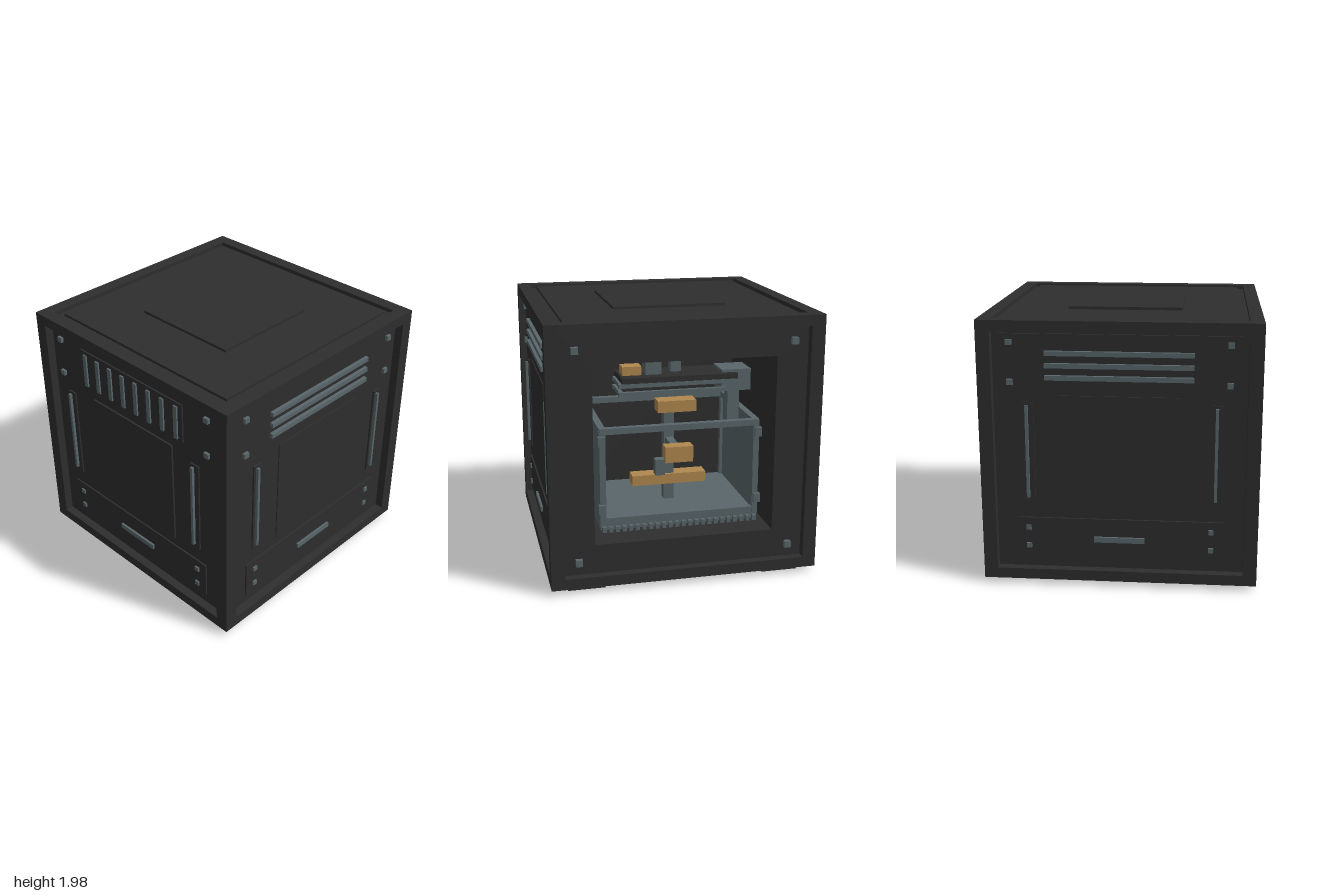
import * as THREE from 'three';

const dark = new THREE.MeshStandardMaterial({ color: 0x2e2e2e });
dark.name = 'charcoal';
const metal = new THREE.MeshStandardMaterial({ color: 0x59666a });
metal.name = 'steel';
const gold = new THREE.MeshStandardMaterial({ color: 0xb0884e });
gold.name = 'brass';

const MID = 1.005, HALF = 0.965; // vertical centre and half height of the case

// Box given by its centre and size
function box(parent, name, mat, x, y, z, w, h, d) {
  const m = new THREE.Mesh(new THREE.BoxGeometry(w, h, d), mat);
  m.position.set(x, y, z);
  m.name = name;
  parent.add(m);
  return m;
}

function group(parent, name) {
  const g = new THREE.Group();
  g.name = name;
  parent.add(g);
  return g;
}

// Twelve edge beams of the case
function buildFrame(parent) {
  const g = group(parent, 'edgeFrame');
  for (const a of [-1, 1]) {
    for (const b of [-1, 1]) {
      box(g, 'uprightBeam', dark, a * 0.95, MID, b * 0.95, 0.1, HALF * 2, 0.1);
      box(g, 'crossBeam', dark, 0, MID + a * (HALF - 0.04), b * 0.95, 1.8, 0.08, 0.1);
      box(g, 'sideBeam', dark, a * 0.95, MID + b * (HALF - 0.04), 0, 0.1, 0.08, 1.8);
    }
  }
}

// Solid core with a square compartment open at the back
function buildCore(parent) {
  const s = new THREE.Shape();
  const rect = (p, w, b, t) => p.moveTo(-w, b).lineTo(w, b).lineTo(w, t).lineTo(-w, t).closePath();
  rect(s, 0.935, 0.07, 1.94);
  const hole = new THREE.Path();
  rect(hole, 0.67, 0.34, 1.67);
  s.holes.push(hole);
  const geo = new THREE.ExtrudeGeometry(s, { depth: 1.085, bevelEnabled: false });
  const shell = new THREE.Mesh(geo, dark);
  shell.position.z = -0.935;
  shell.name = 'compartmentShell';
  parent.add(shell);
  box(parent, 'frontCore', dark, 0, MID, 0.5425, 1.87, 1.87, 0.785);
}

// Panel with handles, drawer and screws; faces +z before turning
function buildFace(parent, name, turn, handleXs) {
  const g = group(parent, name);
  box(g, 'facePanel', dark, 0, 1.03, 0.94, 1.7, 1.68, 0.02);
  box(g, 'drawerPanel', dark, 0, 0.365, 0.955, 1.5, 0.29, 0.015);
  box(g, 'drawerHandle', metal, 0, 0.355, 0.97, 0.37, 0.04, 0.02);
  for (const x of handleXs) {
    box(g, 'handlePlate', dark, x, 1.005, 0.955, 0.08, 0.75, 0.015);
    box(g, 'handleBar', metal, x - 0.01, 1.015, 0.972, 0.022, 0.69, 0.025);
  }
  for (const s of [-1, 1]) {
    for (const y of [1.525, 1.81]) box(g, 'panelScrew', metal, s * 0.775, y, 0.96, 0.043, 0.04, 0.025);
    for (const y of [0.295, 0.435]) box(g, 'drawerScrew', metal, s * 0.665, y, 0.967, 0.038, 0.036, 0.016);
  }
  g.rotation.y = turn;
  return g;
}

// Toothed tray, posts, rails and walls of the inner bench
function buildBench(parent) {
  const g = group(parent, 'innerBench');
  box(g, 'benchFloor', metal, 0, 0.41, -0.32, 1.2, 0.06, 0.9);
  for (let i = 0; i < 24; i++) {
    box(g, 'floorTooth', metal, -0.575 + i * 0.05, 0.39, -0.785, 0.03, 0.04, 0.03);
  }
  box(g, 'lowerRail', metal, 0, 0.45, -0.76, 1.2, 0.05, 0.04);
  for (const z of [-0.76, 0.11]) box(g, 'upperRail', metal, 0, 1.14, z, 1.2, 0.045, 0.05);
  for (const s of [-1, 1]) {
    box(g, 'benchWall', metal, s * 0.59, 0.78, -0.32, 0.02, 0.7, 0.86);
    box(g, 'sideRail', metal, s * 0.58, 1.14, -0.32, 0.05, 0.045, 0.86);
    for (const z of [-0.76, 0.11]) box(g, 'benchPost', metal, s * 0.58, 0.78, z, 0.045, 0.72, 0.045);
    for (const y of [0.55, 1.07]) box(g, 'postBracket', metal, s * 0.59, y, -0.785, 0.05, 0.07, 0.04);
  }
}

// Working arm standing on the bench
function buildArm(parent) {
  const g = group(parent, 'workingArm');
  box(g, 'armPost', metal, 0, 0.82, -0.37, 0.08, 0.74, 0.08);
  box(g, 'armBase', gold, 0, 0.62, -0.37, 0.58, 0.08, 0.12);
  box(g, 'armTop', gold, -0.06, 1.2, -0.37, 0.3, 0.09, 0.13);
  box(g, 'armReach', metal, 0, 0.93, -0.52, 0.06, 0.05, 0.28);
  box(g, 'armHead', gold, 0, 0.92, -0.7, 0.21, 0.12, 0.1);
  box(g, 'armTool', metal, 0.14, 0.82, -0.69, 0.07, 0.12, 0.07);
}

// Overhead carriage hung below the ceiling
function buildCarriage(parent) {
  const g = group(parent, 'overheadCarriage');
  box(g, 'carriagePlate', dark, 0, 1.5, -0.62, 0.86, 0.04, 0.3);
  for (const y of [1.4, 1.46]) {
    for (const z of [-0.74, -0.5]) box(g, 'carriageRail', metal, 0.05, y, z, 0.8, 0.03, 0.03);
    box(g, 'carriageEnd', metal, 0.43, y, -0.62, 0.03, 0.03, 0.27);
  }
  box(g, 'carriageBlock', gold, 0.34, 1.55, -0.62, 0.14, 0.07, 0.12);
  box(g, 'carriageMotor', metal, 0.18, 1.57, -0.62, 0.12, 0.1, 0.12);
  box(g, 'carriageHanger', metal, 0, 1.6, -0.58, 0.08, 0.16, 0.08);
  box(g, 'toolBlock', metal, -0.43, 1.46, -0.62, 0.22, 0.16, 0.22);
  box(g, 'toolNeck', metal, -0.43, 1.25, -0.62, 0.09, 0.28, 0.09);
}

export function createModel() {
  const model = new THREE.Group();
  model.name = 'machineCabinet';
  buildFrame(model);
  buildCore(model);

  // Front with upright vent slats
  const front = buildFace(model, 'frontFace', 0, [-0.697, 0.65]);
  box(front, 'ventPanel', dark, 0, 1.665, 0.955, 1.08, 0.31, 0.015);
  for (let i = 0; i < 8; i++) {
    box(front, 'ventSlat', metal, -0.483 + i * 0.1378, 1.66, 0.968, 0.035, 0.265, 0.015);
  }
  box(front, 'centrePlate', dark, 0, 1.005, 0.955, 0.85, 0.85, 0.02);

  // Sides with level vent slats
  for (const s of [-1, 1]) {
    const side = buildFace(model, s > 0 ? 'leftFace' : 'rightFace', s * Math.PI / 2, [-0.65, 0.7]);
    for (const y of [1.56, 1.647, 1.735]) box(side, 'ventSlat', metal, 0, y, 0.962, 1.05, 0.034, 0.03);
    box(side, 'centrePlate', dark, 0, 1.005, 0.953, 0.85, 0.85, 0.01);
  }

  // Back panel screws
  for (const x of [-0.79, 0.79]) {
    for (const y of [0.22, 1.78]) box(model, 'backScrew', metal, x, y, -0.95, 0.05, 0.05, 0.04);
  }

  // Top and bottom panels
  for (const s of [-1, 1]) {
    box(model, s > 0 ? 'topPanel' : 'bottomPanel', dark, 0, MID + s * 0.94, 0, 1.7, 0.03, 1.7);
    box(model, s > 0 ? 'topPlate' : 'bottomPlate', dark, 0, MID + s * 0.96, 0, 0.85, 0.03, 0.85);
    box(model, 'footRunner', dark, s * 0.737, 0.035, 0, 0.275, 0.07, 1.87);
  }

  buildBench(model);
  buildArm(model);
  buildCarriage(model);
  return model;
}
